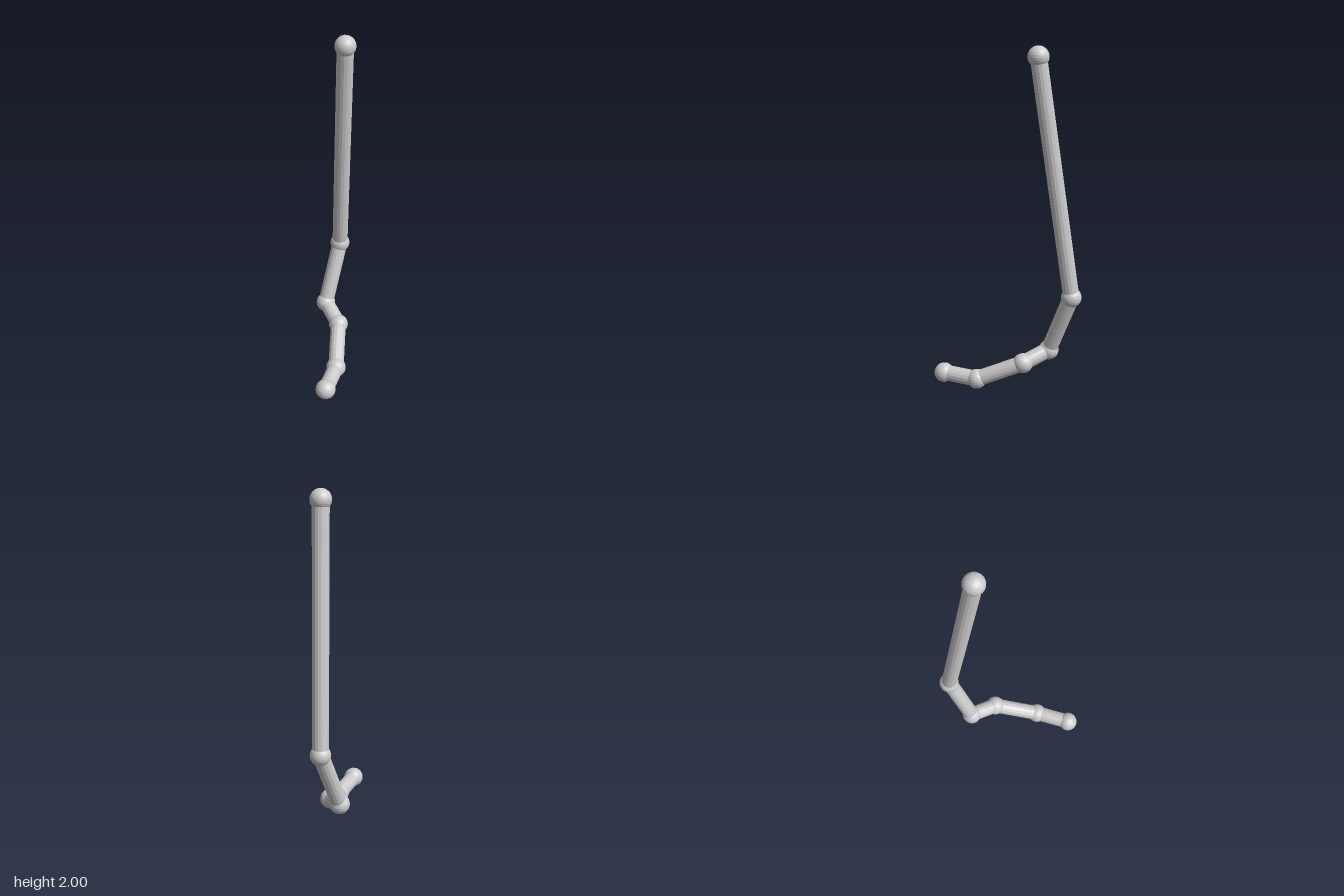
import * as THREE from 'three';

export function createModel() {
  const model = new THREE.Group();
  model.name = 'jointedRod';
  const material = new THREE.MeshStandardMaterial({ color: 0xcccccc, flatShading: true });
  const jointRadius = 0.058;
  const rodRadius = 0.046;

  // Joint centres, from the top of the long rod down to the tip
  const joints = [
    [-0.022, 1.942, -0.182],
    [-0.136, 0.595, -0.345],
    [-0.152, 0.231, -0.195],
    [-0.013, 0.175, -0.103],
    [0.105, 0.06, 0.141],
    [0.149, 0.067, 0.345],
  ].map((p) => new THREE.Vector3(...p));
  const rodNames = ['longRod', 'lowerRod', 'shortRod', 'slopingRod', 'endRod'];

  // Ball at every joint, poles along z
  const ball = new THREE.SphereGeometry(jointRadius, 24, 16).rotateX(Math.PI / 2);
  joints.forEach((p, i) => {
    const joint = new THREE.Mesh(ball, material);
    joint.name = `ballJoint${i + 1}`;
    joint.position.copy(p);
    model.add(joint);
  });

  // Rod between each pair of neighbouring joints
  const up = new THREE.Vector3(0, 1, 0);
  rodNames.forEach((name, i) => {
    const a = joints[i];
    const b = joints[i + 1];
    const direction = a.clone().sub(b);
    const rod = new THREE.Mesh(
      new THREE.CylinderGeometry(rodRadius, rodRadius, direction.length(), 16), material);
    rod.name = name;
    rod.position.copy(a).add(b).multiplyScalar(0.5);
    rod.quaternion.setFromUnitVectors(up, direction.normalize());
    model.add(rod);
  });
  return model;
}
